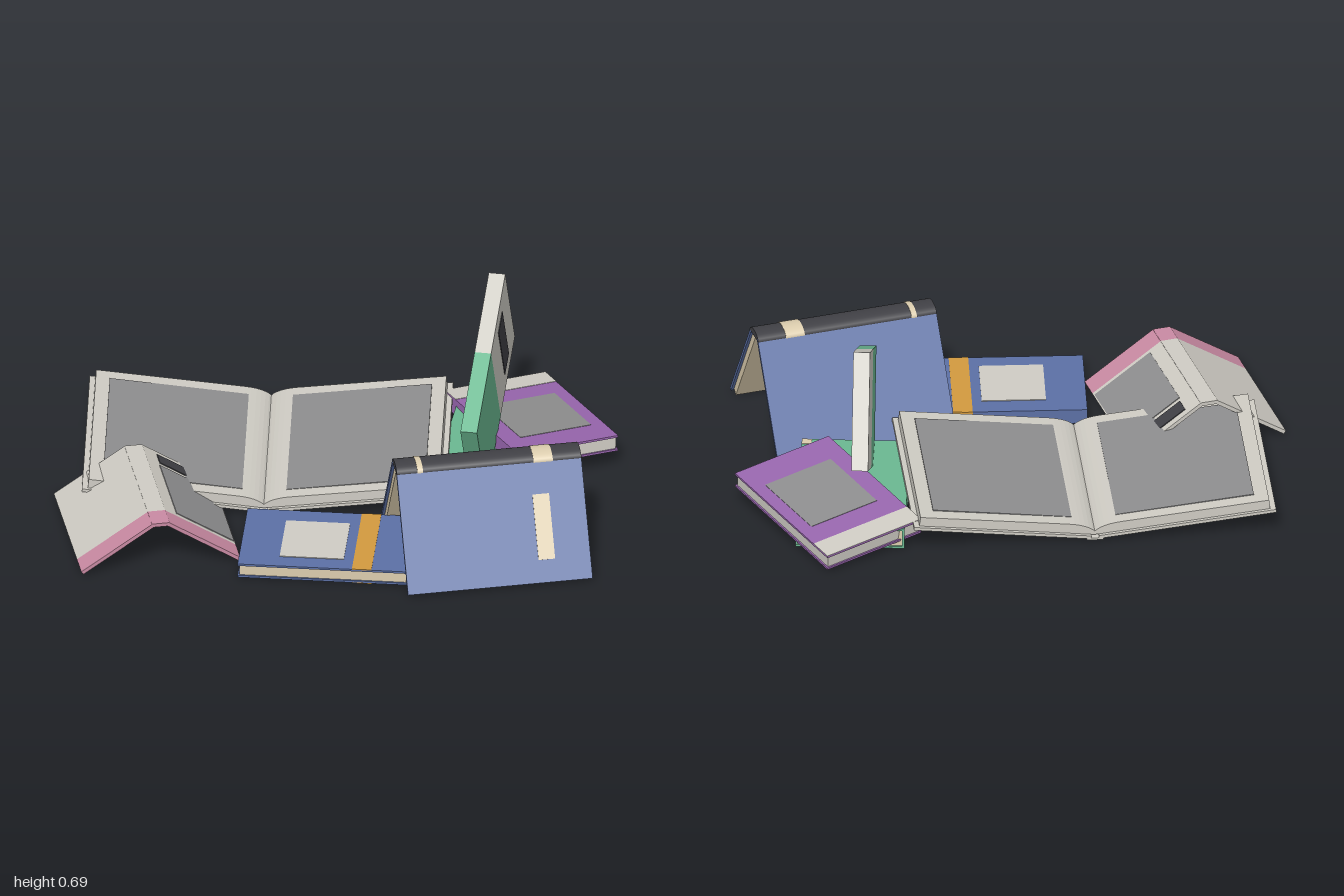
import * as THREE from 'three';

const mat = (name, color, side = THREE.FrontSide) => {
  const m = new THREE.MeshStandardMaterial({ color, side });
  m.name = name;
  return m;
};

export function createModel() {
  const paper = mat('paper grey', 0xcfccc4), grey = mat('print grey', 0x8e8e8f);
  const pink = mat('pink', 0xc98aa3), blue = mat('blue', 0x5c70a5);
  const cream = mat('cream', 0xdccdae), orange = mat('orange', 0xd29a3f);
  const green = mat('green', 0x6bb891), purple = mat('purple', 0x9866ae);
  const charcoal = mat('charcoal', 0x404045, THREE.DoubleSide), red = mat('red', 0xa83c38);

  const root = new THREE.Group();
  root.name = 'bookPile';

  const group = (name, parent, x = 0, y = 0, z = 0, rx = 0, ry = 0, rz = 0) => {
    const g = new THREE.Group();
    g.name = name;
    g.position.set(x, y, z);
    g.rotation.set(rx, ry, rz);
    parent.add(g);
    return g;
  };
  const box = (parent, name, m, w, h, d, x = 0, y = 0, z = 0) => {
    const b = new THREE.Mesh(new THREE.BoxGeometry(w, h, d), m);
    b.name = name;
    b.position.set(x, y, z);
    parent.add(b);
    return b;
  };

  // Closed book centred on its group: two boards, a spine and inset pages
  const closedBook = (g, w, h, d, cover, pages, spineAxis) => {
    const t = 0.008, i = 0.006;
    for (const s of [-1, 1]) box(g, 'board', cover, w, t, d, 0, s * (h - t) / 2, 0);
    box(g, 'pages', pages, w - 2 * i, h - 2 * t, d - 2 * i);
    if (spineAxis === 'x') box(g, 'spine', cover, t, h - 2 * t, d, (t - w) / 2, 0, 0);
    else box(g, 'spine', cover, w, h - 2 * t, t, 0, 0, (t - d) / 2);
  };

  // Large open book, both halves sloping up from the gutter
  const open = group('openBook', root, -0.295, 0.008, -0.14, 0, 0.137, 0);
  for (const s of [-1, 1]) {
    const half = group(s < 0 ? 'openRightHalf' : 'openLeftHalf', open, 0, 0, 0, 0, 0, s * 0.112);
    box(half, 'cover', paper, 0.64, 0.012, 0.79, s * 0.335, 0.006, 0);
    const p = new THREE.Shape();
    p.moveTo(0, 0.012);
    p.lineTo(s * 0.635, 0.012);
    p.lineTo(s * 0.635, 0.047);
    p.lineTo(s * 0.1, 0.049);
    p.quadraticCurveTo(s * 0.03, 0.049, 0, 0.024);
    const geo = new THREE.ExtrudeGeometry(p, { depth: 0.765, bevelEnabled: false, curveSegments: 6 });
    geo.translate(0, 0, -0.3825);
    const pages = new THREE.Mesh(geo, paper);
    pages.name = 'pageBlock';
    half.add(pages);
    box(half, 'printedArea', grey, 0.5, 0.004, 0.66, s * 0.335, 0.0485, 0);
    if (s < 0) {
      box(half, 'coverPanel', grey, 0.42, 0.004, 0.42, -0.34, -0.001, 0.02);
      box(half, 'coverBand', red, 0.46, 0.004, 0.085, -0.34, -0.001, -0.28);
      box(half, 'coverLabel', paper, 0.3, 0.006, 0.03, -0.46, -0.001, -0.355);
    }
  }
  box(open, 'spine', paper, 0.06, 0.008, 0.79, 0, 0.001, 0);
  box(open, 'spineBand', red, 0.045, 0.004, 0.5, 0, -0.004, 0.13);
  box(open, 'spineBand', red, 0.045, 0.004, 0.19, 0, -0.004, -0.295);

  // Thin book standing as a low roof
  const roof = group('lowTentBook', root, -0.635, 0, 0.42, 0, 0.35, 0);
  box(roof, 'spine', paper, 0.064, 0.014, 0.466, 0, 0.178, -0.0445);
  box(roof, 'spineEnd', pink, 0.064, 0.014, 0.089, 0, 0.178, 0.233);
  for (const s of [-1, 1]) {
    const side = group(s < 0 ? 'tentRightCover' : 'tentLeftCover', roof, s * 0.03, 0.185, 0, 0, 0, -s * 0.585);
    box(side, 'cover', paper, 0.31, 0.014, 0.466, s * 0.155, -0.007, -0.0445);
    box(side, 'coverEnd', pink, 0.31, 0.014, 0.089, s * 0.155, -0.007, 0.233);
    if (s > 0) {
      box(side, 'coverPanel', grey, 0.25, 0.004, 0.34, 0.18, 0.001, 0);
      box(side, 'coverLabel', charcoal, 0.16, 0.005, 0.06, 0.14, 0.001, -0.22);
    }
  }

  // Small blue book lying flat
  const small = group('smallBlueBook', root, 0.03, 0.028, 0.48, 0, 0.08, 0);
  closedBook(small, 0.61, 0.055, 0.39, blue, cream, 'z');
  for (const s of [-1, 1]) box(small, 'stripe', orange, 0.07, 0.003, 0.391, 0.14, s * 0.0275, 0);
  box(small, 'spineStripe', orange, 0.07, 0.056, 0.003, 0.14, 0, -0.195);
  box(small, 'coverPlate', paper, 0.23, 0.004, 0.25, -0.045, 0.028, 0.005);

  // Tall blue book standing as a roof
  const tent = group('tallTentBook', root, 0.585, 0, 0.355, 0, 0.35, 0);
  for (const s of [-1, 1]) {
    const side = group(s < 0 ? 'backCover' : 'frontCover', tent, 0, 0.385, s * 0.042, s * 1.01, 0, 0);
    box(side, 'cover', blue, 0.67, 0.012, 0.445, 0, -0.006, s * 0.2225);
    box(side, 'pages', cream, 0.65, 0.026, 0.425, 0, -0.025, s * 0.2225);
    if (s > 0) box(side, 'coverStrip', cream, 0.06, 0.004, 0.235, 0.176, 0.001, 0.245);
  }
  // Rounded spine and its raised bands
  const arch = (name, m, r, len, x) => {
    const geo = new THREE.CylinderGeometry(r, r, len, 14, 1, false, 0, Math.PI);
    geo.rotateZ(Math.PI / 2);
    geo.scale(1, 0.5, 1);
    const a = new THREE.Mesh(geo, m);
    a.name = name;
    a.position.set(x, 0.374, 0);
    tent.add(a);
  };
  arch('spine', charcoal, 0.05, 0.67, 0);
  arch('spineBand', cream, 0.053, 0.02, -0.25);
  arch('spineBand', cream, 0.053, 0.07, 0.196);

  // Green book lying flat
  const flat = group('flatGreenBook', root, 0.525, 0.04, -0.295);
  closedBook(flat, 0.39, 0.08, 0.63, green, cream, 'x');
  box(flat, 'coverTab', cream, 0.035, 0.003, 0.035, 0.177, 0.04, 0.297);

  // Purple book leaning on the green one
  const lean = group('purpleBook', root, 0.61, 0.078, -0.43, -0.116, 0.62, 0);
  closedBook(lean, 0.4, 0.06, 0.6, purple, paper, 'x');
  box(lean, 'coverEnd', paper, 0.4, 0.004, 0.09, 0, 0.0295, -0.255);
  box(lean, 'coverPanel', grey, 0.28, 0.004, 0.3, 0.01, 0.0295, 0.03);

  // Two-tone book balanced on its corner
  const upright = group('balancedBook', root, 0.49, 0.345, -0.2125, 0.487, 0, 0);
  box(upright, 'coverFront', green, 0.06, 0.425, 0.335, 0, 0, 0.1675);
  box(upright, 'coverBack', paper, 0.06, 0.425, 0.335, 0, 0, -0.1675);
  box(upright, 'coverLabel', charcoal, 0.005, 0.285, 0.09, 0.03, 0.003, -0.174);

  return root;
}
